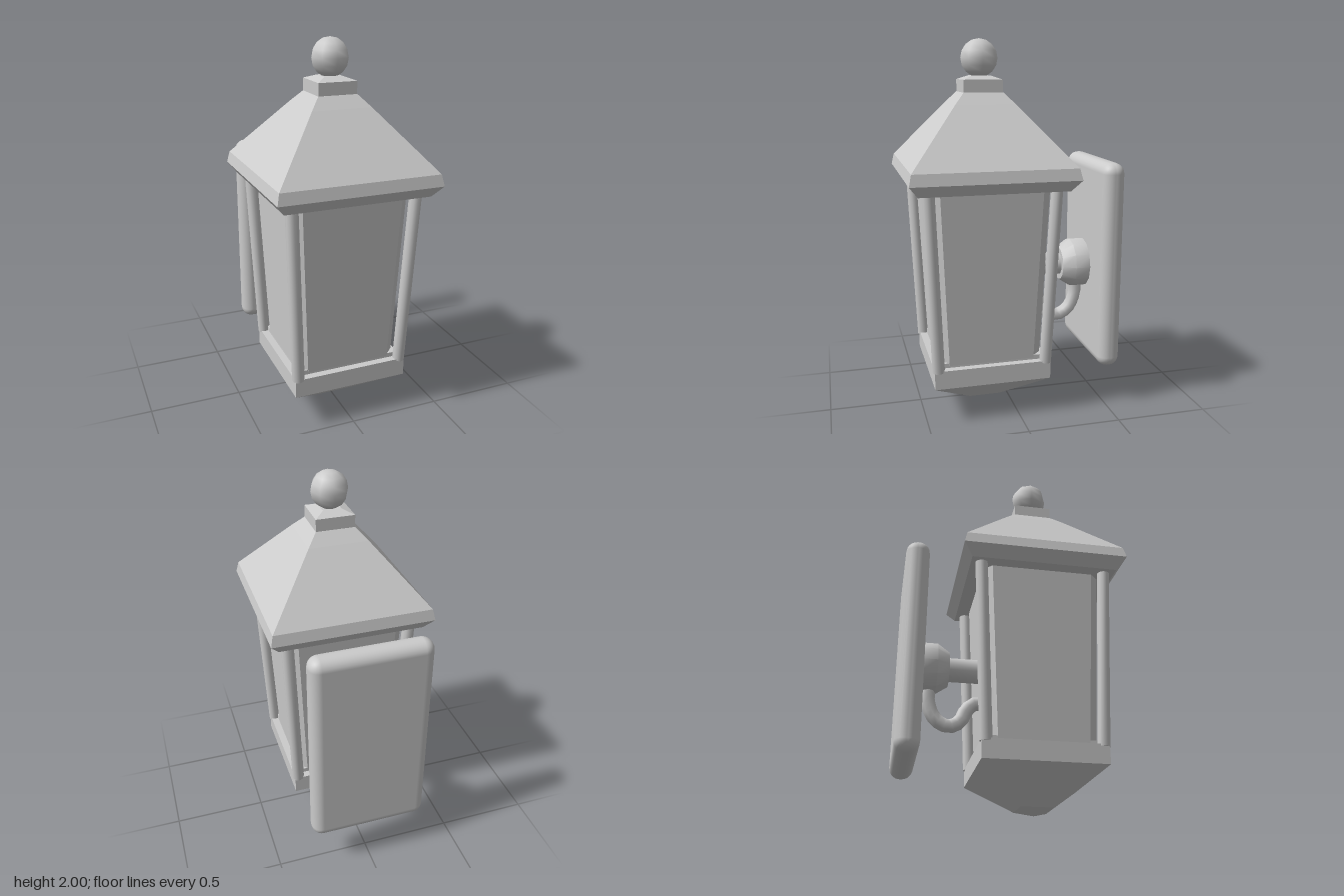
import * as THREE from 'three';
import { toCreasedNormals } from 'three/addons/utils/BufferGeometryUtils.js';
import { RoundedBoxGeometry } from 'three/addons/geometries/RoundedBoxGeometry.js';
import { ConvexGeometry } from 'three/addons/geometries/ConvexGeometry.js';

const flat = new THREE.MeshStandardMaterial({ color: 0xcccccc, flatShading: true });
const smooth = new THREE.MeshStandardMaterial({ color: 0xcccccc });

function add(parent, name, geometry, material = smooth) {
  const mesh = new THREE.Mesh(geometry, material);
  mesh.name = name;
  parent.add(mesh);
  return mesh;
}

const points = (list) => list.map(([x, y]) => new THREE.Vector2(x, y));

// Square solid from a profile of [half width, height], bottom to top
function squareLathe(profile) {
  const scaled = profile.map(([w, y]) => [w * Math.SQRT2, y]);
  return new THREE.LatheGeometry(points(scaled), 4, Math.PI / 4);
}

// Round bar between two points
function bar(parent, name, from, to, radius, sides) {
  const dir = to.clone().sub(from);
  const geo = toCreasedNormals(new THREE.CylinderGeometry(radius, radius, dir.length(), sides), 0.9);
  const mesh = add(parent, name, geo);
  mesh.position.copy(from).add(to).multiplyScalar(0.5);
  mesh.quaternion.setFromUnitVectors(new THREE.Vector3(0, 1, 0), dir.normalize());
  return mesh;
}

export function createModel() {
  const model = new THREE.Group();
  model.name = 'wallLantern';

  const lantern = new THREE.Group();
  lantern.name = 'lantern';
  lantern.position.z = 0.145;
  model.add(lantern);

  // Base with a blunt pyramid below and a raised ledge for the glass
  add(lantern, 'base', squareLathe([
    [0, 0], [0.085, 0.03], [0.315, 0.2], [0.315, 0.3], [0.275, 0.3], [0.275, 0.325], [0, 0.325],
  ]), flat);

  // Tapered glass body with chamfered corners
  const corners = [];
  for (const [face, edge, y] of [[0.275, 0.23, 0.31], [0.315, 0.27, 1.25]]) {
    for (const sx of [-1, 1]) for (const sz of [-1, 1]) {
      corners.push(new THREE.Vector3(sx * face, y, sz * edge), new THREE.Vector3(sx * edge, y, sz * face));
    }
  }
  add(lantern, 'glass', new ConvexGeometry(corners), flat);

  // Leaning corner posts
  for (const sx of [-1, 1]) for (const sz of [-1, 1]) {
    bar(lantern, 'cornerPost',
      new THREE.Vector3(sx * 0.292, 0.29, sz * 0.292),
      new THREE.Vector3(sx * 0.332, 1.25, sz * 0.332), 0.033, 10);
  }

  // Roof, cap and ball finial
  add(lantern, 'roof', squareLathe([
    [0, 1.24], [0.388, 1.24], [0.435, 1.3], [0.422, 1.36], [0.16, 1.665], [0.105, 1.725], [0, 1.725],
  ]), flat);
  add(lantern, 'cap', squareLathe([
    [0, 1.72], [0.104, 1.725], [0.104, 1.79], [0.05, 1.81], [0, 1.81],
  ]), flat);
  add(lantern, 'finial', new THREE.SphereGeometry(0.1, 8, 8)).position.y = 1.9;

  // Wall plate with rounded edges
  add(model, 'wallPlate', new RoundedBoxGeometry(0.64, 1.14, 0.125, 3, 0.058))
    .position.set(0, 0.79, -0.517);

  // Domed mount and the arm to the lantern
  const mount = add(model, 'mount', toCreasedNormals(new THREE.LatheGeometry(points([
    [0.138, -0.47], [0.138, -0.375], [0.095, -0.31], [0, -0.31],
  ]), 12), 0.75));
  mount.position.y = 0.755;
  mount.rotation.x = Math.PI / 2;
  bar(model, 'arm', new THREE.Vector3(0, 0.755, -0.33), new THREE.Vector3(0, 0.755, -0.13), 0.066, 10);

  // Curled hook below the arm
  const path = new THREE.CatmullRomCurve3([
    [0.66, -0.41], [0.57, -0.41], [0.48, -0.37], [0.443, -0.3], [0.47, -0.24], [0.53, -0.21], [0.57, -0.17], [0.575, -0.13],
  ].map(([y, z]) => new THREE.Vector3(0, y, z)));
  add(model, 'hook', new THREE.TubeGeometry(path, 14, 0.038, 8));

  return model;
}
